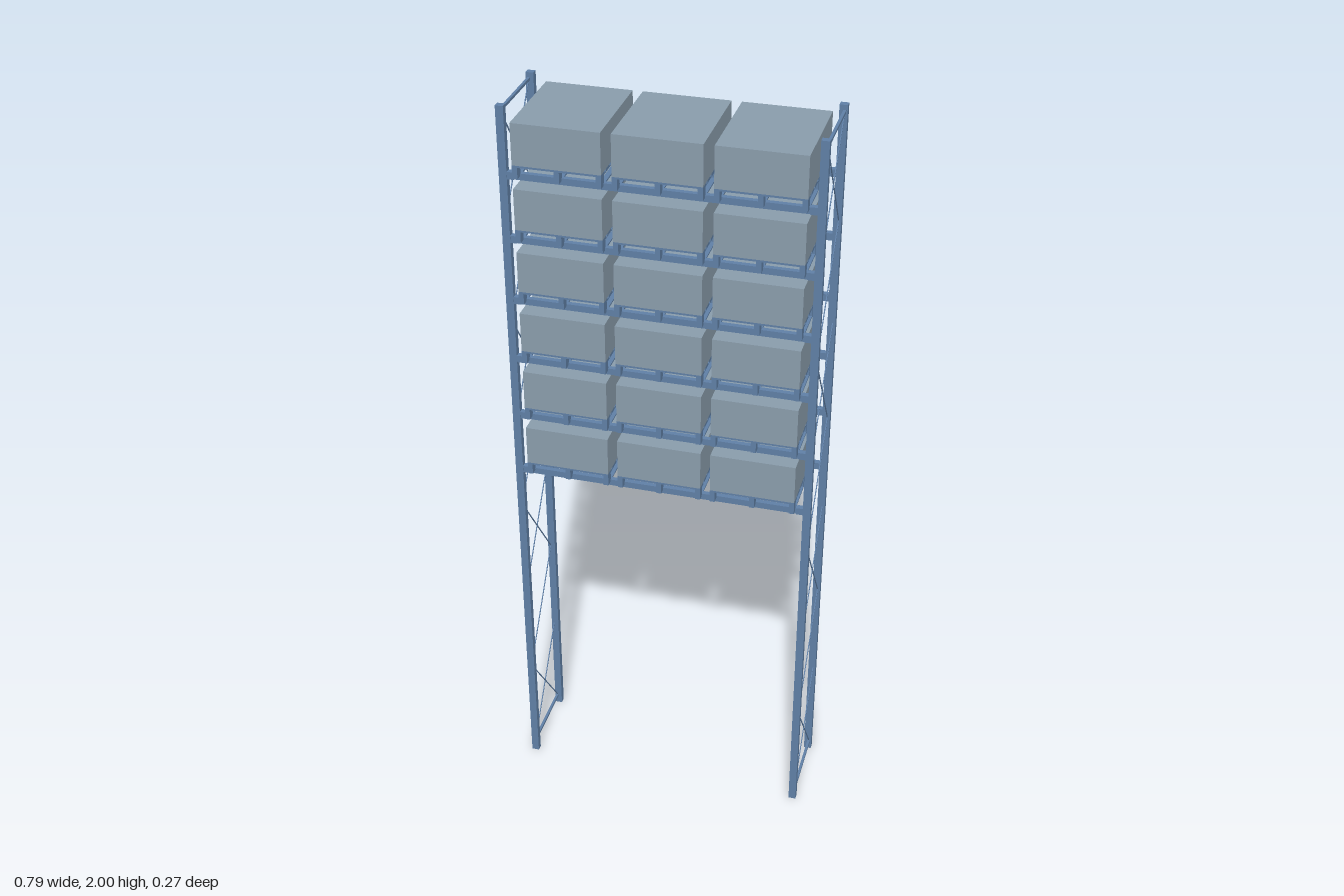
import * as THREE from 'three';

const steel = new THREE.MeshStandardMaterial({ color: 0x5f7fa5 });
const cargo = new THREE.MeshStandardMaterial({ color: 0x899cab });

function box(parent, name, w, h, d, x, y, z, material = steel) {
  const mesh = new THREE.Mesh(new THREE.BoxGeometry(w, h, d), material);
  mesh.name = name;
  mesh.position.set(x, y, z);
  parent.add(mesh);
  return mesh;
}

// Thin bar in the side plane, from (y0, z0) to (y1, z1)
function brace(parent, name, x, y0, z0, y1, z1, t) {
  const length = Math.hypot(y1 - y0, z1 - z0);
  const bar = box(parent, name, t, t, length, x, (y0 + y1) / 2, (z0 + z1) / 2);
  bar.rotation.x = -Math.atan2(y1 - y0, z1 - z0);
}

const POST_X = 0.384, POST_Z = 0.108;
const LEVELS = 6, FIRST = 0.991, PITCH = 0.167;
const LOAD_W = 0.219, LOAD_D = 0.266;

// Two posts joined by horizontals and diagonals
function createFrame(side) {
  const frame = new THREE.Group();
  frame.name = side > 0 ? 'leftFrame' : 'rightFrame';
  for (const s of [-1, 1]) box(frame, 'post', 0.02, 2, 0.017, side * POST_X, 1, s * POST_Z);
  const x = side * 0.387, z = 0.102;
  for (const y of [0.028, 1.984]) brace(frame, 'horizontalBrace', x, y, -z, y, z, 0.007);
  // Crossed bays alternate with single diagonals
  const bay = 0.2795;
  for (let i = 0; i < 7; i++) {
    const y0 = 0.028 + i * bay, y1 = y0 + bay;
    brace(frame, 'diagonalBrace', x, y0, z, y1, -z, 0.0025);
    if (i % 2 === 0) brace(frame, 'diagonalBrace', x, y0, -z, y1, z, 0.0025);
  }
  return frame;
}

// Pallet of boards and blocks, standing on y = 0, with its load on top
function createPalletLoad() {
  const unit = new THREE.Group();
  unit.name = 'palletLoad';
  const blockW = 0.013, blockD = 0.022, boards = 7, boardD = 0.028;
  for (const i of [-1, 0, 1]) {
    const x = i * (LOAD_W - blockW) / 2;
    box(unit, 'bottomBoard', blockW, 0.004, LOAD_D, x, 0.002, 0);
    box(unit, 'stringer', blockW, 0.003, LOAD_D, x, 0.0275, 0);
    for (const k of [-1, 0, 1])
      box(unit, 'block', blockW, 0.022, blockD, x, 0.015, k * (LOAD_D - blockD) / 2);
  }
  for (let i = 0; i < boards; i++) {
    const z = (i / (boards - 1) - 0.5) * (LOAD_D - boardD);
    box(unit, 'deckBoard', LOAD_W, 0.005, boardD, 0, 0.0315, z);
  }
  box(unit, 'load', LOAD_W, 0.106, LOAD_D, 0, 0.087, 0, cargo);
  return unit;
}

export function createModel() {
  const model = new THREE.Group();
  model.name = 'palletRack';
  for (const side of [-1, 1]) model.add(createFrame(side));

  const pallet = createPalletLoad();
  for (let i = 0; i < LEVELS; i++) {
    const level = new THREE.Group();
    level.name = 'shelfLevel';
    level.position.y = FIRST + i * PITCH;
    // Front and back beams with end connectors
    for (const s of [-1, 1]) {
      box(level, 'beam', 0.748, 0.017, 0.013, 0, 0, s * POST_Z);
      for (const e of [-1, 1])
        box(level, 'beamConnector', 0.02, 0.019, 0.015, e * 0.367, 0, s * POST_Z);
    }
    for (const k of [-1, 0, 1]) {
      const unit = pallet.clone();
      unit.position.set(k * 0.2445, 0.002, 0);
      level.add(unit);
    }
    model.add(level);
  }
  return model;
}
